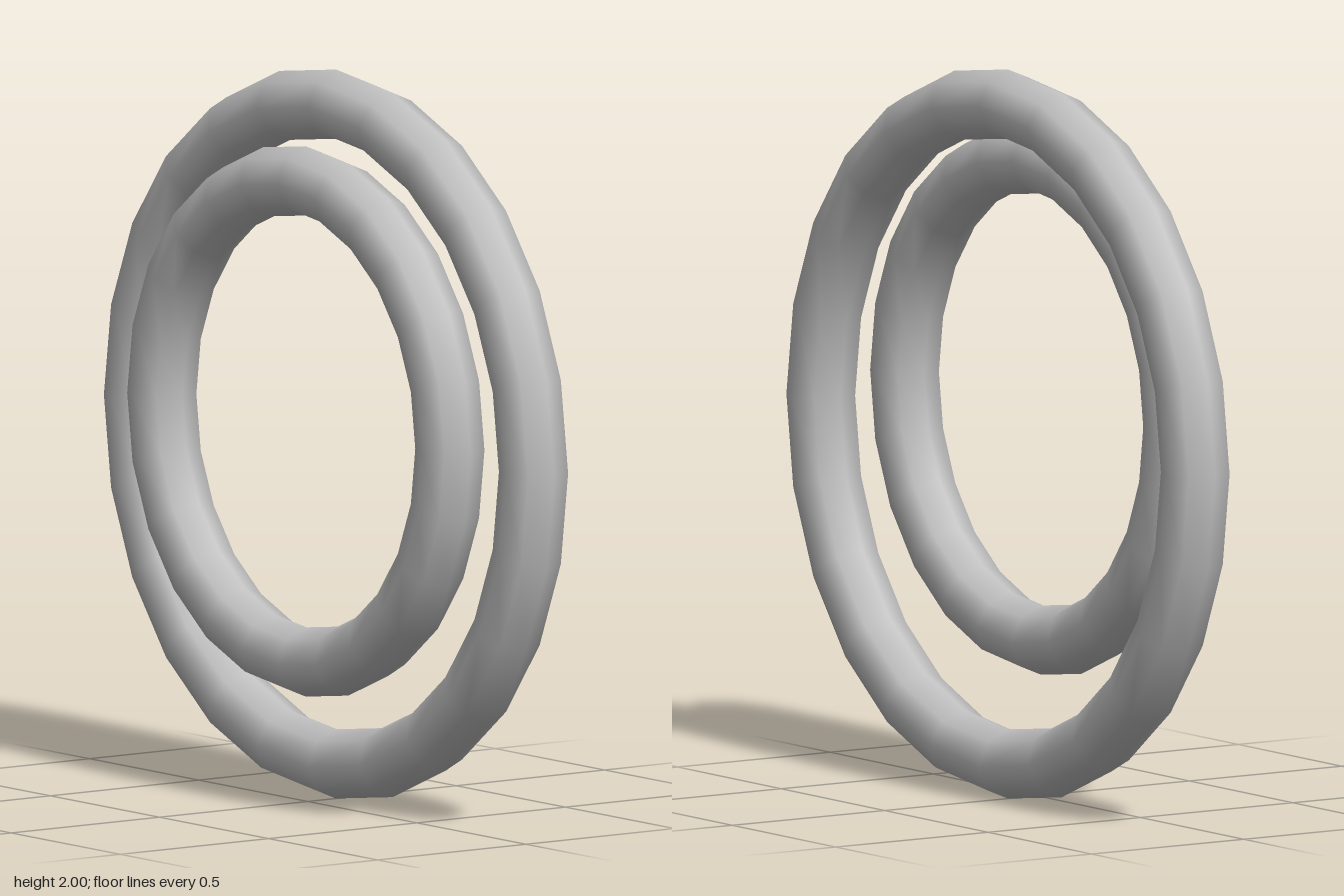
import * as THREE from 'three';

export function createModel() {
  const model = new THREE.Group();
  model.name = 'interlockedRings';

  const grey = new THREE.MeshStandardMaterial({ color: 0xbfbfbf });
  grey.name = 'grey';

  const tube = 0.095;

  // A smooth ring facing +z, with an octagonal tube
  function addRing(name, outerRadius, x, y, z) {
    const ring = new THREE.Mesh(new THREE.TorusGeometry(outerRadius - tube, tube, 8, 24), grey);
    ring.name = name;
    ring.position.set(x, y, z);
    model.add(ring);
  }

  // Large ring at the back, small ring resting against its front
  addRing('largeRing', 1, 0, 1, -tube);
  addRing('smallRing', 0.755, 0.12, 1.065, tube);

  return model;
}
